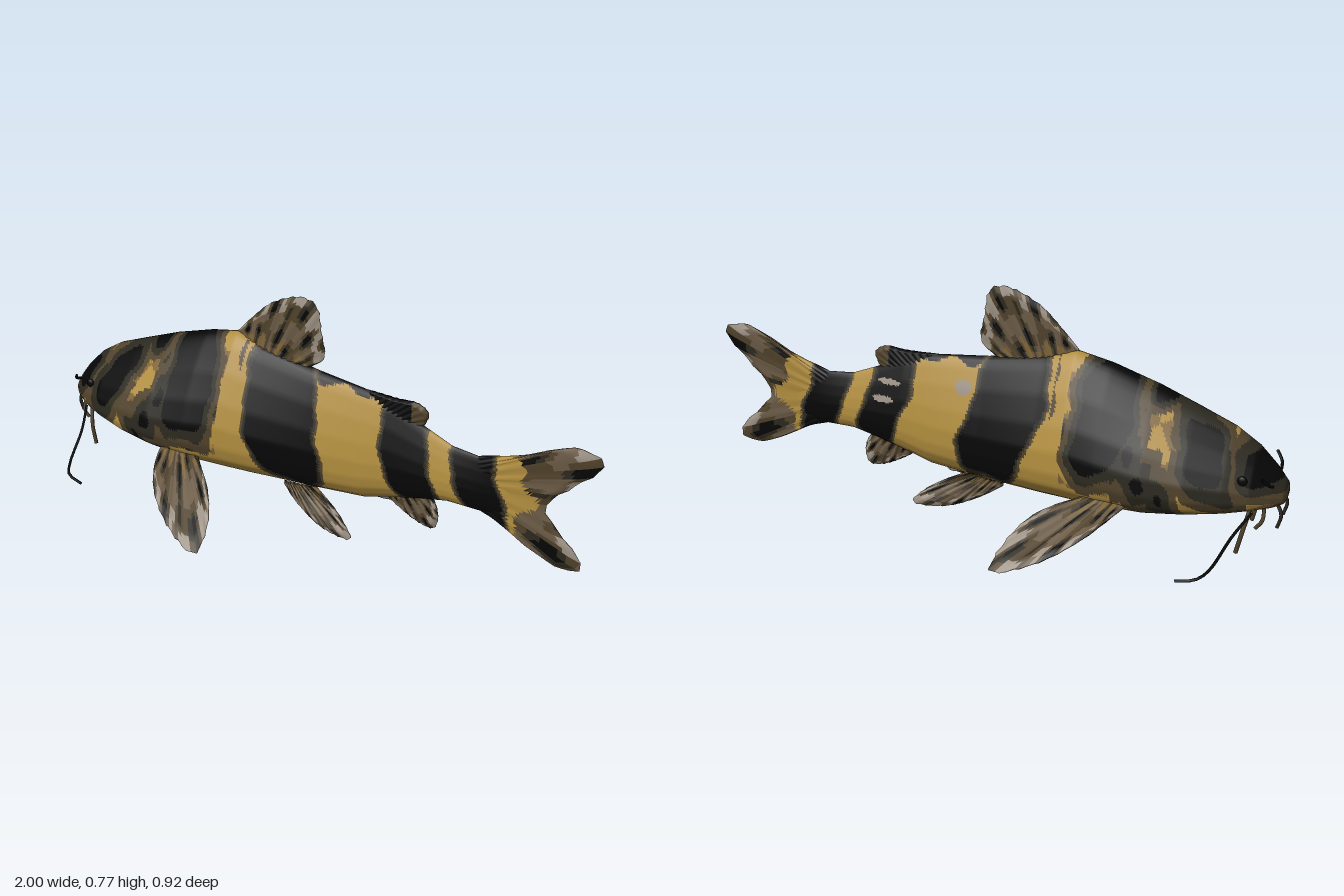
import * as THREE from 'three';

const mat = (name, color) => new THREE.MeshStandardMaterial({ name, color, side: THREE.DoubleSide });
const V = (p) => new THREE.Vector3(p[0], p[1], p[2] || 0);

// Linear interpolation through rows [t, a, b, ...]
function sample(rows, t) {
  let i = 0;
  while (i < rows.length - 2 && t > rows[i + 1][0]) i++;
  const a = rows[i], b = rows[i + 1];
  const k = THREE.MathUtils.clamp((t - a[0]) / (b[0] - a[0]), 0, 1);
  return a.map((n, j) => n + (b[j] - n) * k);
}

// Surface closed around u, open along v, each cell coloured by a rule
function paintedLoft(name, nu, nv, at, paint, mats) {
  const pos = [], buckets = mats.map(() => []);
  for (let j = 0; j <= nv; j++)
    for (let i = 0; i < nu; i++) pos.push(...at(i / nu, j / nv));
  const id = (i, j) => j * nu + (i % nu);
  for (let j = 0; j < nv; j++) {
    for (let i = 0; i < nu; i++) {
      const tris = [[id(i, j), id(i, j + 1), id(i + 1, j)], [id(i + 1, j), id(i, j + 1), id(i + 1, j + 1)]];
      tris.forEach((tri) => {
        const c = [0, 1, 2].map((k) => tri.reduce((s, n) => s + pos[n * 3 + k], 0) / 3);
        buckets[paint(c, (i + 0.5) / nu, (j + 0.5) / nv)].push(...tri);
      });
    }
  }
  const geo = new THREE.BufferGeometry();
  geo.setAttribute('position', new THREE.Float32BufferAttribute(pos, 3));
  geo.setIndex(buckets.flat());
  let start = 0;
  buckets.forEach((b, m) => { if (b.length) geo.addGroup(start, b.length, m); start += b.length; });
  geo.computeVertexNormals();
  const mesh = new THREE.Mesh(geo, mats);
  mesh.name = name;
  return mesh;
}

// Body stations: x, belly y, back y, half width
const STATIONS = [
  [-1, 0.215, 0.225, 0.005], [-0.995, 0.19, 0.255, 0.055], [-0.96, 0.175, 0.3, 0.09], [-0.9, 0.16, 0.36, 0.13],
  [-0.82, 0.14, 0.412, 0.16], [-0.7, 0.118, 0.462, 0.19], [-0.57, 0.1, 0.515, 0.205], [-0.42, 0.09, 0.565, 0.193],
  [-0.3, 0.088, 0.592, 0.172], [-0.2, 0.09, 0.565, 0.15], [0, 0.1, 0.53, 0.112], [0.2, 0.12, 0.51, 0.085],
  [0.3, 0.15, 0.49, 0.07], [0.4, 0.178, 0.44, 0.056], [0.5, 0.2, 0.4, 0.042], [0.62, 0.2, 0.39, 0.028],
  [0.76, 0.22, 0.37, 0.005],
];
// Half cross-section from belly to back: parameter, height share, width share
const SECTION = [
  [0, 0, 0], [0.12, 0.015, 0.36], [0.24, 0.08, 0.7], [0.34, 0.17, 0.93], [0.42, 0.27, 1], [0.54, 0.42, 0.97],
  [0.67, 0.58, 0.82], [0.81, 0.77, 0.56], [0.92, 0.92, 0.29], [0.97, 0.985, 0.13], [1, 1, 0],
];
// Dark markings: centre x, centre y, half width, half height, slant
const MARKS = [
  [-0.93, 0.31, 0.05, 0.055, 0.5], [-0.75, 0.345, 0.05, 0.095, 0.4], [-0.62, 0.52, 0.04, 0.04, 0.3],
  [-0.57, 0.25, 0.02, 0.03, 0], [-0.63, 0.2, 0.012, 0.02, 0], [-0.53, 0.34, 0.015, 0.03, 0],
  [-0.43, 0.42, 0.085, 0.165, -0.1], [-0.08, 0.36, 0.12, 0.215, -0.25], [0.17, 0.525, 0.16, 0.022, -0.3],
  [0.31, 0.52, 0.07, 0.03, 0], [0.36, 0.34, 0.07, 0.17, -0.25], [0.605, 0.3, 0.065, 0.2, -0.2],
];
const BLACK = 0, OLIVE = 1, BROWN = 2, GOLD = 3, PALE = 4, TAN = 5, FIN = 6, BELLY = 7;

function markColour([x, y, z]) {
  // Pale scars on the right flank
  const scar = (cx, cy, rx, ry) => ((x - cx) / rx) ** 2 + ((y - cy) / ry) ** 2 < 1;
  if (z < -0.015 && (scar(0.07, 0.43, 0.03, 0.025) || scar(0.35, 0.4, 0.045, 0.01) || scar(0.37, 0.34, 0.04, 0.012)))
    return PALE;
  const wx = x + 0.01 * Math.sin(y * 22 + z * 9) + 0.004 * Math.sin(y * 60 + x * 20);
  const wy = y + 0.012 * Math.sin(x * 40 + z * 12);
  let d = 9;
  for (const [cx, cy, rx, ry, s] of MARKS) {
    const a = Math.abs((wx - cx - s * (wy - cy)) / rx), b = Math.abs((wy - cy) / ry);
    d = Math.min(d, (Math.pow(a ** 3 + b ** 3, 1 / 3) - 1) * rx);
  }
  const edge = x < -0.48 && y < 0.36 ? 2 : x < -0.25 ? 1.4 : 0.6;
  if (d < 0) return BLACK;
  if (d < 0.013 * edge) return OLIVE;
  if (d < 0.026 * edge) return BROWN;
  if (x < -0.2 && y < 0.145 + 0.01 * Math.sin(x * 25) - 0.1 * (x + 0.5)) return BELLY;
  if (x < -0.3 && y > 0.19) {
    const n = Math.sin(x * 33 + y * 14) + Math.sin(y * 41 - x * 12 + 2);
    if (n > 1.3) return OLIVE;
    if (n > 0.7) return BROWN;
    if (n > 0) return TAN;
  }
  return GOLD;
}

// Streaked fin membrane: grey-brown rays, dark lines and pale tips
function finColour(s, v) {
  const n = Math.sin(s * 53 + v * 2) + Math.sin(s * 31 - v * 5 + 1) + 0.7 * Math.sin(v * 12 + s * 9);
  if (n > 1.7) return BLACK;
  if (n > 0.9) return OLIVE;
  if (v > 0.6 + 0.25 * (1 - s) && n < -0.2) return PALE;
  if (v < 0.35 && n < -0.6) return TAN;
  return n > -0.1 ? BROWN : FIN;
}

// Fin fanned from a root line to a rim curve, thickened along the given normal
function makeFin(name, root, rim, normal, thick, mats, paint = (c, s, v) => finColour(s, v)) {
  const r = new THREE.CatmullRomCurve3(root.map(V)), e = new THREE.CatmullRomCurve3(rim.map(V), false, 'centripetal');
  const n = V(normal).normalize();
  const across = (u) => (1 - Math.cos(u * Math.PI * 2)) / 2;
  const at = (u, v) => {
    const s = across(u), a = r.getPointAt(s), b = e.getPointAt(s);
    const ragged = 1 - 0.03 * (0.5 + 0.5 * Math.sin(s * 95)) * Math.min(1, s * 4);
    const taper = (1 - v * 0.4) * Math.min(1, (1 - v) * 8 + 0.1);
    const t = Math.sin(u * Math.PI * 2) * thick * taper * (1 + 0.15 * Math.sin(s * 70));
    return a.lerp(b, v * ragged).addScaledVector(n, t).toArray();
  };
  return paintedLoft(name, 128, 24, at, (c, u, v) => paint(c, across(u), v), mats);
}

export function createModel() {
  const mats = [
    mat('black', 0x060606), mat('dark olive', 0x2a281e), mat('brown', 0x4f412a), mat('gold', 0xb08d3e),
    mat('pale grey', 0x9a8f82), mat('tan', 0x7e6436), mat('fin brown', 0x6a5a45), mat('belly gold', 0x8a6c33),
  ];
  const fish = new THREE.Group();
  fish.name = 'fish';

  // Banded body
  const bodyAt = (u, v) => {
    const [x, lo, hi, w] = sample(STATIONS, -1 + 1.76 * Math.pow(v, 1.15));
    const [, h, k] = sample(SECTION, u < 0.5 ? u * 2 : 2 - u * 2);
    return [x, lo + (hi - lo) * h, (u < 0.5 ? 1 : -1) * w * k];
  };
  fish.add(paintedLoft('body', 104, 230, bodyAt, markColour, mats));

  // Fins on the centre line
  fish.add(makeFin('dorsalFin', [[-0.3, 0.57], [-0.16, 0.54], [-0.04, 0.52]],
    [[-0.31, 0.59], [-0.25, 0.655], [-0.17, 0.73], [-0.05, 0.778], [0.0, 0.76], [0.02, 0.67], [0.03, 0.58], [-0.02, 0.535]],
    [0, 0, 1], 0.016, mats));
  fish.add(makeFin('adiposeFin', [[0.18, 0.49], [0.28, 0.46], [0.37, 0.43]],
    [[0.18, 0.512], [0.3, 0.51], [0.38, 0.515], [0.415, 0.49], [0.405, 0.45], [0.39, 0.43]], [0, 0, 1], 0.02, mats,
    (c) => (c[0] > 0.36 ? BROWN : BLACK)));
  fish.add(makeFin('analFin', [[0.25, 0.17], [0.34, 0.19], [0.43, 0.21]],
    [[0.26, 0.15], [0.32, 0.11], [0.4, 0.072], [0.45, 0.07], [0.465, 0.11], [0.455, 0.16], [0.43, 0.19]],
    [0, 0, 1], 0.016, mats));
  fish.add(makeFin('tailFin', [[0.58, 0.385], [0.6, 0.3], [0.58, 0.21]],
    [[0.6, 0.395], [0.75, 0.445], [0.91, 0.522], [0.98, 0.515], [1.005, 0.485], [0.92, 0.39], [0.83, 0.28], [0.89, 0.2],
      [0.965, 0.12], [0.95, 0.085], [0.88, 0.08], [0.78, 0.12], [0.69, 0.17], [0.6, 0.2]],
    [0, 0, 1], 0.016, mats,
    (c, s) => (c[0] < 0.8 - 0.6 * Math.abs(c[1] - 0.3) + 0.02 * Math.sin(c[1] * 50) || c[0] < 0.68
      ? markColour(c) : finColour(s, (c[0] - 0.6) / 0.4))));

  for (const m of [1, -1]) {
    const side = m > 0 ? 'left' : 'right';
    const flip = (pts) => pts.map(([x, y, z]) => [x, y, z * m]);

    // Paired fins
    fish.add(makeFin(side + 'PectoralFin', flip([[-0.53, 0.165, 0.15], [-0.46, 0.165, 0.145], [-0.39, 0.16, 0.14]]),
      flip([[-0.525, 0.16, 0.18], [-0.49, 0.142, 0.26], [-0.43, 0.1, 0.345], [-0.32, 0.04, 0.42], [-0.19, 0.003, 0.465],
        [-0.175, 0.008, 0.455], [-0.19, 0.06, 0.37], [-0.25, 0.125, 0.28], [-0.36, 0.16, 0.18]]),
      [0, 1, 0.45 * m], 0.017, mats));
    fish.add(makeFin(side + 'PelvicFin', flip([[-0.08, 0.12, 0.075], [-0.02, 0.13, 0.085], [0.05, 0.14, 0.08]]),
      flip([[-0.08, 0.11, 0.08], [0, 0.065, 0.11], [0.1, 0.028, 0.135], [0.2, 0.02, 0.145], [0.225, 0.028, 0.145],
        [0.18, 0.075, 0.125], [0.11, 0.115, 0.1]]),
      [0, 0.5, m], 0.02, mats));

    // Barbels: long whisker, chin pair and short feelers round the mouth
    const barbels = [
      ['LongBarbel', 0.005, BLACK, [[-0.91, 0.18, 0.11], [-0.87, 0.13, 0.19], [-0.83, 0.065, 0.31], [-0.8, 0.05, 0.35], [-0.74, 0.038, 0.36]]],
      ['ChinBarbel', 0.007, BROWN, [[-0.9, 0.18, 0.09], [-0.885, 0.11, 0.115], [-0.87, 0.04, 0.12]]],
      ['CheekBarbel', 0.006, BROWN, [[-0.94, 0.19, 0.07], [-0.94, 0.15, 0.09], [-0.92, 0.12, 0.09]]],
      ['SnoutBarbel', 0.006, OLIVE, [[-0.97, 0.2, 0.04], [-0.99, 0.16, 0.05], [-0.98, 0.115, 0.05]]],
      ['NostrilBarbel', 0.005, BLACK, [[-0.96, 0.26, 0.07], [-0.955, 0.275, 0.1], [-0.935, 0.3, 0.12]]],
    ];
    barbels.forEach(([name, r, colour, pts]) => {
      const curve = new THREE.CatmullRomCurve3(flip(pts).map(V));
      const barbel = new THREE.Mesh(new THREE.TubeGeometry(curve, 16, r, 6), mats[colour]);
      barbel.name = side + name;
      fish.add(barbel);
    });

    // Small dark eye
    const eye = new THREE.Mesh(new THREE.SphereGeometry(0.016, 16, 10), mats[BLACK]);
    eye.scale.z = 0.55;
    eye.position.set(-0.875, 0.285, m * 0.118);
    eye.name = side + 'Eye';
    fish.add(eye);
  }
  return fish;
}
